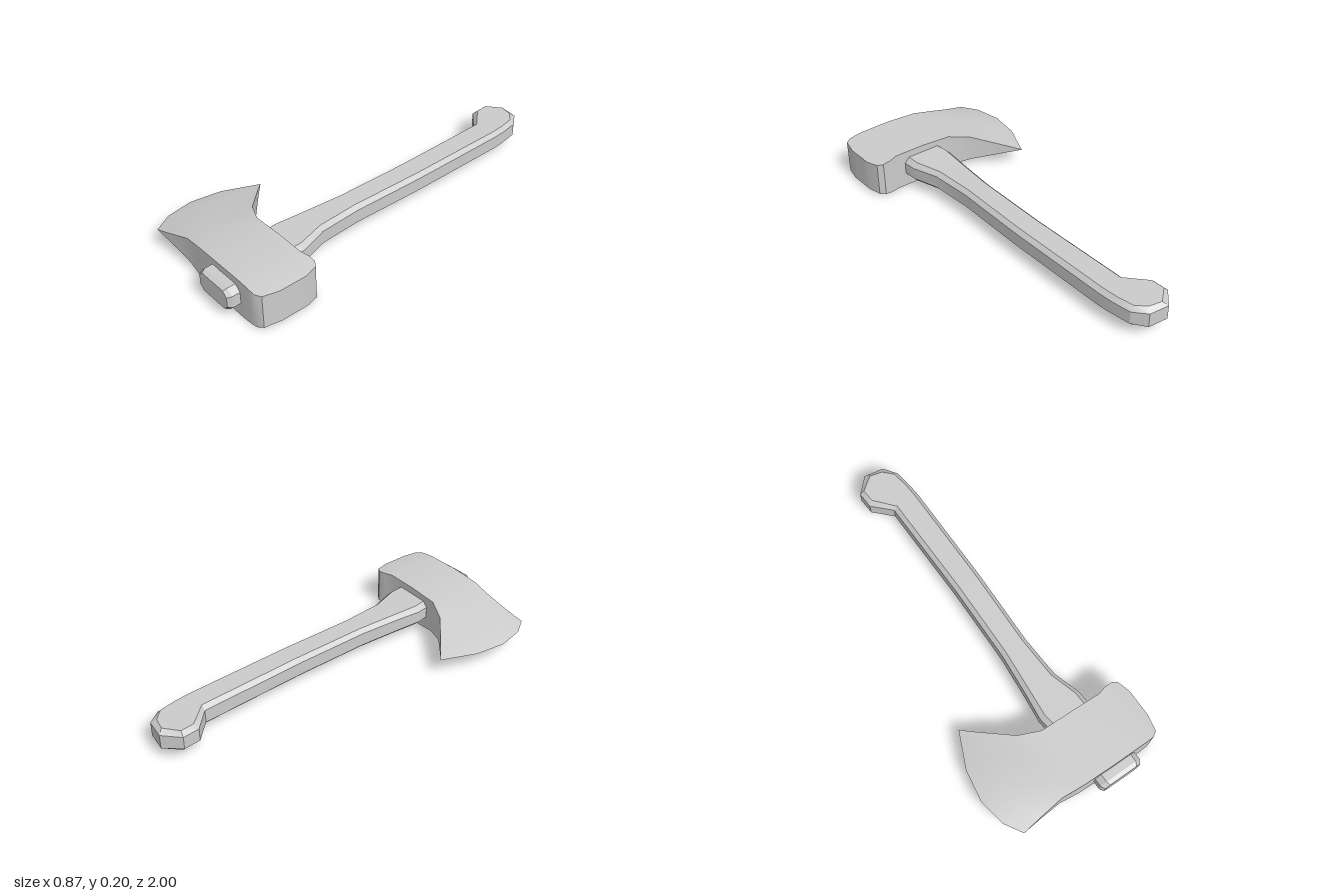
import * as THREE from 'three';
import { toCreasedNormals } from 'three/addons/utils/BufferGeometryUtils.js';

const material = new THREE.MeshStandardMaterial({ color: 0xcccccc });

// Skin a row of equal-length rings; end caps are strips joining point k to point n-1-k.
function loft(rings, capStart, capEnd, crease) {
  const n = rings[0].length;
  const pos = [];
  const quad = (a, b, c, d) => pos.push(...a, ...b, ...c, ...a, ...c, ...d);
  for (let i = 0; i < rings.length - 1; i++) {
    for (let k = 0; k < n; k++) {
      const m = (k + 1) % n;
      quad(rings[i][k], rings[i][m], rings[i + 1][m], rings[i + 1][k]);
    }
  }
  const cap = (r, flip) => {
    for (let k = 0; k < n / 2 - 1; k++) {
      const q = [r[k], r[k + 1], r[n - 2 - k], r[n - 1 - k]];
      quad(...(flip ? q.reverse() : q));
    }
  };
  if (capStart) cap(rings[0], true);
  if (capEnd) cap(rings[rings.length - 1], false);
  const geometry = new THREE.BufferGeometry();
  geometry.setAttribute('position', new THREE.Float32BufferAttribute(pos, 3));
  return toCreasedNormals(geometry, THREE.MathUtils.degToRad(crease));
}

// Axe head: stations run from the curved cutting edge (-x) to the poll (+x).
function headGeometry() {
  const midY = 0.1;
  const ring = (xs, zs, hs) => {
    const top = xs.map((x, j) => [x, midY + hs[j], zs[j]]);
    const bottom = xs.map((x, j) => [x, midY - hs[j], zs[j]]).reverse();
    return [...top, ...bottom];
  };
  const rings = [
    // cutting edge, then the shoulder of the bevel
    ring([-0.33, -0.41, -0.435, -0.41, -0.355], [0.38, 0.56, 0.72, 0.86, 0.95], [0, 0, 0, 0, 0]),
    ring([-0.28, -0.31, -0.33, -0.31, -0.25], [0.43, 0.58, 0.71, 0.83, 0.937], [0.018, 0.032, 0.035, 0.034, 0.03]),
  ];
  // x, back z, front z, half thickness
  const body = [
    [-0.13, 0.57, 0.925, 0.069],
    [-0.025, 0.62, 0.935, 0.09],
    [0.14, 0.625, 0.94, 0.1],
    [0.3, 0.63, 0.94, 0.1],
    [0.345, 0.618, 0.94, 0.096],
    [0.385, 0.617, 0.938, 0.091],
    [0.412, 0.635, 0.92, 0.087],
    [0.43, 0.7, 0.84, 0.084],
  ];
  for (const [x, back, front, h] of body) {
    const zs = [0, 0.28, 0.52, 0.77, 1].map((t) => back + (front - back) * t);
    rings.push(ring(zs.map(() => x), zs, zs.map(() => h)));
  }
  return loft(rings, false, true, 35);
}

// Haft: eight-sided sections from the hooked grip (-z) to the end through the eye (+z).
function haftGeometry() {
  const midY = 0.105;
  // left x, left z, right x, right z, half height, chamfer, z inset of the chamfer
  const stations = [
    [0.02, -1, 0.12, -0.985, 0.055, 0.018, 0.024],
    [-0.055, -0.925, 0.17, -0.92, 0.055, 0.022, 0.005],
    [-0.05, -0.84, 0.185, -0.82, 0.055, 0.022, -0.012],
    [0.04, -0.75, 0.19, -0.75, 0.055, 0.021, 0],
    [0.05, -0.2, 0.195, -0.2, 0.055, 0.021, 0],
    [0.045, 0.2, 0.187, 0.2, 0.055, 0.021, 0],
    [0.027, 0.42, 0.2, 0.42, 0.055, 0.022, 0],
    [0.012, 0.56, 0.245, 0.56, 0.056, 0.025, 0],
    [0.022, 0.65, 0.25, 0.65, 0.058, 0.027, 0],
    [0.055, 0.93, 0.282, 0.93, 0.06, 0.029, 0],
    [0.055, 0.98, 0.282, 0.98, 0.06, 0.029, 0],
    [0.068, 1, 0.269, 1, 0.049, 0.024, 0],
  ];
  const rings = stations.map(([lx, lz, rx, rz, h, c, dz]) => [
    [lx + c, midY + h, lz + dz],
    [lx, midY + h - c, lz],
    [lx, midY - h + c, lz],
    [lx + c, midY - h, lz + dz],
    [rx - c, midY - h, rz + dz],
    [rx, midY - h + c, rz],
    [rx, midY + h - c, rz],
    [rx - c, midY + h, rz + dz],
  ]);
  return loft(rings, true, true, 28);
}

export function createModel() {
  const model = new THREE.Group();
  model.name = 'axe';
  const parts = { axeHead: headGeometry(), haft: haftGeometry() };
  for (const [name, geometry] of Object.entries(parts)) {
    const mesh = new THREE.Mesh(geometry, material);
    mesh.name = name;
    model.add(mesh);
  }
  return model;
}
